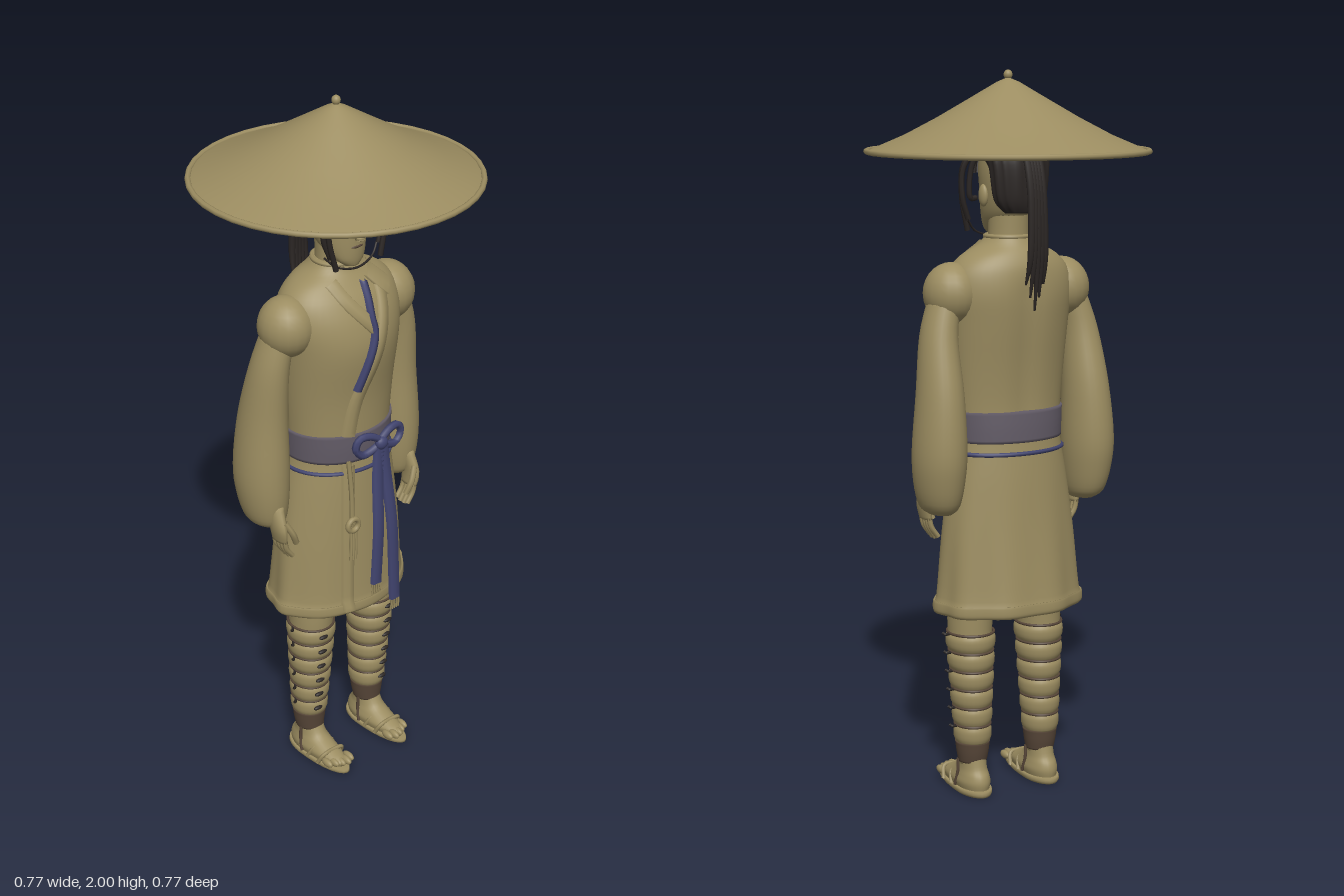
import * as THREE from 'three';

const mat = (name, color) => new THREE.MeshStandardMaterial({ name, color, side: THREE.DoubleSide });
const khaki = mat('khaki cloth', 0x9c8d61);
const blue = mat('blue cord', 0x41446f);
const sashGrey = mat('grey sash', 0x625b66);
const black = mat('black hair', 0x2b2624);
const brown = mat('brown wrap', 0x584739);

const V = (x, y, z) => new THREE.Vector3(x, y, z);

// A ring is [y, half width, front depth, back depth, centre x, centre z], listed bottom to top.
function smoothRings(rings, steps = 4) {
  const full = rings.map(r => [0, 1, 2, 3, 4, 5].map(k => r[k] ?? 0));
  const at = i => full[Math.min(Math.max(i, 0), full.length - 1)];
  const out = [];
  for (let i = 0; i < full.length - 1; i++) {
    for (let s = 0; s < steps; s++) {
      const t = s / steps;
      out.push(at(i).map((b, k) => {
        const a = at(i - 1)[k], c = at(i + 1)[k], d = at(i + 2)[k];
        return b + 0.5 * t * (c - a + t * (2 * a - 5 * b + 4 * c - d + t * (3 * (b - c) + d - a)));
      }));
    }
  }
  out.push(full[full.length - 1]);
  return out;
}

// Skin over stacked rings; rule(angle, y) may scale each point for folds and grooves.
function loft(rings, { steps = 4, sides = 28, caps = true, rule = () => 1 } = {}) {
  const rows = smoothRings(rings, steps);
  if (caps) {
    const flat = r => [r[0], 1e-4, 1e-4, 1e-4, r[4], r[5]];
    rows.unshift(flat(rows[0]));
    rows.push(flat(rows[rows.length - 1]));
  }
  const pos = [], idx = [];
  rows.forEach(([y, rx, zf, zb, cx, cz], i) => {
    for (let j = 0; j < sides; j++) {
      const a = (j / sides) * Math.PI * 2, k = rule(a, y);
      pos.push(cx + rx * k * Math.cos(a), y, cz + (Math.sin(a) > 0 ? zf : zb) * k * Math.sin(a));
      if (i < rows.length - 1) {
        const p = i * sides + j, q = i * sides + (j + 1) % sides;
        idx.push(p, p + sides, q, q, p + sides, q + sides);
      }
    }
  });
  return surface(pos, idx);
}

function surface(pos, idx) {
  const g = new THREE.BufferGeometry();
  g.setAttribute('position', new THREE.Float32BufferAttribute(pos, 3));
  g.setIndex(idx);
  g.computeVertexNormals();
  return g;
}

// Depth of the front of a lofted body at (x, y).
function frontOf(rings) {
  const rows = smoothRings(rings);
  return (x, y) => {
    let i = 0;
    while (i < rows.length - 2 && rows[i + 1][0] < y) i++;
    const a = rows[i], b = rows[i + 1];
    const t = THREE.MathUtils.clamp((y - a[0]) / (b[0] - a[0]), 0, 1);
    const rx = a[1] + (b[1] - a[1]) * t, zf = a[2] + (b[2] - a[2]) * t;
    return zf * Math.sqrt(Math.max(0, 1 - (x / rx) ** 2));
  };
}

// Raised band following a path of [x, y] points across a front surface.
function band(path, width, lift, depth) {
  const curve = new THREE.SplineCurve(path.map(p => new THREE.Vector2(...p)));
  const n = 24, pos = [], idx = [];
  for (let i = 0; i <= n; i++) {
    const p = curve.getPoint(i / n), d = curve.getTangent(i / n);
    [[-1, -0.004], [-0.8, lift], [0, lift], [0.8, lift], [1, -0.004]].forEach(([s, h], j) => {
      const x = p.x + d.y * s * width / 2, y = p.y - d.x * s * width / 2;
      pos.push(x, y, depth(x, y) + h);
      if (i < n && j < 4) {
        const a = i * 5 + j;
        idx.push(a, a + 1, a + 5, a + 1, a + 6, a + 5);
      }
    });
  }
  return surface(pos, idx);
}

const tube = (pts, r, closed = false) =>
  new THREE.TubeGeometry(new THREE.CatmullRomCurve3(pts.map(p => V(...p)), closed), pts.length > 8 ? 48 : 20, r, 6, closed);
const loopPoints = (rx, y, zf, zb, cx = 0, cz = 0) => Array.from({ length: 20 }, (_, i) => {
  const a = i / 20 * Math.PI * 2;
  return [cx + rx * Math.cos(a), y, cz + (Math.sin(a) > 0 ? zf : zb) * Math.sin(a)];
});

export function createModel() {
  const model = new THREE.Group();
  const add = (name, geo, material, x = 0, y = 0, z = 0) => {
    const m = new THREE.Mesh(geo, material);
    m.name = name;
    m.position.set(x, y, z);
    model.add(m);
    return m;
  };
  const ball = (name, material, p, s) => add(name, new THREE.SphereGeometry(1, 20, 14), material, ...p).scale.set(...s);

  // Conical hat with rolled rim and tip bead
  const hat = [[0.375, 1.787], [0.36, 1.794], [0.28, 1.828], [0.19, 1.875], [0.1, 1.927], [0.03, 1.968], [0.001, 1.98]];
  add('hat', new THREE.LatheGeometry(hat.map(p => new THREE.Vector2(...p)), 40), khaki);
  add('hatRim', new THREE.TorusGeometry(0.379, 0.008, 8, 40).rotateX(Math.PI / 2), khaki, 0, 1.786);
  ball('hatTip', khaki, [0, 1.987, 0], [0.012, 0.013, 0.012]);

  // Head and neck
  add('neck', loft([[1.48, 0.065, 0.05, 0.06], [1.56, 0.056, 0.05, 0.058], [1.66, 0.056, 0.05, 0.06]]), khaki);
  add('head', loft([[1.56, 0.022, 0.02, 0.03, 0, 0.06], [1.58, 0.044, 0.035, 0.06, 0, 0.05], [1.62, 0.064, 0.07, 0.08, 0, 0.018],
    [1.68, 0.074, 0.088, 0.085], [1.75, 0.078, 0.088, 0.095], [1.83, 0.066, 0.068, 0.08], [1.87, 0.03, 0.03, 0.04]]), khaki);
  const nose = add('nose', new THREE.ConeGeometry(0.014, 0.055, 10), khaki, 0, 1.664, 0.09);
  nose.rotation.x = -0.25;
  ball('noseTip', khaki, [0, 1.645, 0.096], [0.015, 0.01, 0.014]);
  ball('lips', brown, [0, 1.616, 0.083], [0.02, 0.005, 0.007]);
  for (const s of [-1, 1]) {
    ball('eye', black, [s * 0.031, 1.685, 0.077], [0.014, 0.005, 0.006]);
    add('eyebrow', tube([[s * 0.014, 1.702, 0.086], [s * 0.032, 1.712, 0.081], [s * 0.05, 1.704, 0.068]], 0.004), black);
    ball('ear', khaki, [s * 0.076, 1.67, 0], [0.012, 0.03, 0.018]);
    // Side locks and fringe
    for (const [x, z, low] of [[0.092, 0.07, 1.57], [0.098, 0.055, 1.6], [0.085, 0.035, 1.66]])
      add('sideLock', tube([[s * 0.06, 1.8, z], [s * x, 1.74, z + 0.015], [s * (x + 0.003), 1.66, z + 0.015], [s * (x - 0.017), low, z + 0.02]], 0.0075), black);
    for (const x of [0.01, 0.03, 0.05, 0.066])
      add('fringe', tube([[s * x * 0.8, 1.81, 0.06], [s * x, 1.765, 0.09 - x * 0.4], [s * x * 1.15, 1.728, 0.089 - x * 0.5]], 0.008), black);
  }

  // Hair gathered to the back, with a long tail
  add('backHair', loft([[1.625, 0.045, 0.02, 0.03, 0, -0.065], [1.66, 0.075, 0.04, 0.045, 0, -0.062], [1.74, 0.087, 0.05, 0.05, 0, -0.06],
    [1.79, 0.088, 0.12, 0.05, 0, -0.05], [1.86, 0.06, 0.09, 0.04, 0, -0.03]], { rule: a => 1 + 0.03 * Math.sin(a * 14), sides: 56 }), black);
  ball('hairKnot', black, [0, 1.8, -0.11], [0.03, 0.035, 0.03]);
  for (let i = -2; i <= 2; i++) {
    const x = i * 0.009, end = 1.37 + Math.abs(i) * 0.035;
    add('ponytail', loft([[end, 0.003, 0.003, 0.003, x * 1.5, -0.14], [1.52, 0.009, 0.009, 0.009, x * 1.2, -0.157],
      [1.66, 0.011, 0.011, 0.011, x, -0.154], [1.75, 0.011, 0.011, 0.011, x, -0.137], [1.81, 0.01, 0.01, 0.01, x, -0.11]], { sides: 8 }), black);
  }

  // Robe body with a shallow spine groove
  const bodyRings = [[0.98, 0.152, 0.127, 0.098], [1.09, 0.157, 0.13, 0.093], [1.2, 0.166, 0.136, 0.1], [1.33, 0.178, 0.153, 0.116],
    [1.41, 0.186, 0.142, 0.122], [1.47, 0.175, 0.115, 0.115], [1.51, 0.14, 0.085, 0.1], [1.54, 0.085, 0.063, 0.08], [1.565, 0.062, 0.055, 0.064]];
  const spine = (a, y) => 1 - 0.1 * Math.exp(-(((a - Math.PI * 1.5) / 0.22) ** 2)) * THREE.MathUtils.smoothstep(1.5 - y, 0, 0.1);
  add('robeBody', loft(bodyRings, { sides: 48, rule: spine }), khaki);
  const chest = frontOf(bodyRings);
  add('robeOverlap', band([[0.075, 1.515], [0.055, 1.44], [0.01, 1.32], [-0.04, 1.2], [-0.06, 1.09]], 0.038, 0.008, chest), khaki);
  add('rightLapel', band([[-0.07, 1.525], [-0.045, 1.47], [0.012, 1.4]], 0.04, 0.008, chest), khaki);
  add('leftLapel', band([[0.05, 1.535], [0.075, 1.505], [0.1, 1.48]], 0.05, 0.013, chest), khaki);
  add('chestTie', band([[0.02, 1.515], [0.005, 1.44], [0.005, 1.39], [-0.02, 1.31], [-0.045, 1.23]], 0.018, 0.014, chest), blue);
  add('collar', tube(loopPoints(0.063, 1.56, 0.056, 0.064), 0.007, true), khaki);
  add('chinCord', tube([[-0.09, 1.6, 0.06], [-0.06, 1.57, 0.075], [0, 1.556, 0.085], [0.06, 1.57, 0.075], [0.09, 1.6, 0.06]], 0.003), black);

  // Shoulders, sleeves and hands
  for (const s of [-1, 1]) {
    const side = s > 0 ? 'left' : 'right';
    ball(side + 'Shoulder', khaki, [s * 0.172, 1.412, 0.005], [0.077, 0.084, 0.08]);
    const sleeve = [[0.822, 0.03, 0.04, 0.045, 0.225, -0.02], [0.845, 0.052, 0.065, 0.07, 0.23, -0.025], [0.91, 0.066, 0.08, 0.085, 0.233, -0.03],
      [1.0, 0.071, 0.085, 0.09, 0.233, -0.034], [1.15, 0.062, 0.075, 0.078, 0.228, -0.03], [1.3, 0.05, 0.06, 0.06, 0.22, -0.01], [1.4, 0.045, 0.05, 0.05, 0.195, 0]];
    const mirrored = rings => rings.map(r => [...r.slice(0, 4), r[4] * s, r[5]]);
    add(side + 'Sleeve', loft(mirrored(sleeve)), khaki);
    add(side + 'Palm', loft(mirrored([[0.795, 0.012, 0.03, 0.03, 0.235, 0.043], [0.84, 0.016, 0.034, 0.034, 0.24, 0.043], [0.9, 0.02, 0.025, 0.025, 0.235, 0.025]]), { sides: 14 }), khaki);
    for (let i = 0; i < 4; i++)
      add(side + 'Finger', tube([[s * 0.237, 0.81, 0.021 + i * 0.015], [s * 0.23, 0.775, 0.02 + i * 0.015], [s * 0.21, 0.738 + Math.abs(i - 1.5) * 0.005, 0.02 + i * 0.015]], 0.0075), khaki);
    add(side + 'Thumb', tube([[s * 0.235, 0.86, 0.065], [s * 0.215, 0.82, 0.075], [s * 0.2, 0.785, 0.07]], 0.009), khaki);
  }

  // Skirt with soft folds and a thick hem
  const skirtRings = [[0.53, 0.214, 0.15, 0.146], [0.54, 0.22, 0.155, 0.151], [0.565, 0.219, 0.154, 0.15], [0.578, 0.21, 0.148, 0.144],
    [0.75, 0.195, 0.142, 0.125], [0.9, 0.174, 0.136, 0.112], [1.0, 0.156, 0.131, 0.102], [1.06, 0.153, 0.128, 0.098]];
  const folds = (a, y) => 1 + 0.025 * Math.sin(a * 9) * THREE.MathUtils.clamp((0.95 - y) / 0.4, 0, 1) * (Math.sin(a) > 0.4 ? 0.3 : 1);
  add('skirt', loft(skirtRings, { sides: 72, caps: false, rule: folds }), khaki);
  const lap = frontOf(skirtRings);
  add('skirtEdge', band([[-0.06, 1.0], [-0.068, 0.8], [-0.075, 0.545]], 0.035, 0.009, lap), khaki);

  // Sash, waist cord, bow and hanging ends
  add('sash', loft([[1.008, 0.158, 0.135, 0.106], [1.05, 0.16, 0.137, 0.105], [1.092, 0.162, 0.136, 0.102]], { sides: 40 }), sashGrey);
  add('waistCord', tube(loopPoints(0.161, 0.978, 0.134, 0.107), 0.006, true), blue);
  for (const s of [-1, 1]) {
    const loop = [[0, 0], [0.035, 0.026], [0.068, 0.026], [0.08, 0], [0.06, -0.025], [0.03, -0.02]];
    add('bowLoop', tube(loop.map(([x, y]) => [0.035 + s * x, 1.05 + y, 0.146 - x * 0.12]), 0.011, true), blue);
  }
  ball('bowKnot', blue, [0.035, 1.048, 0.15], [0.02, 0.019, 0.014]);
  const hang = (x, y) => 0.148 + 0.026 * THREE.MathUtils.smoothstep(1.05 - y, 0, 0.3);
  for (const [path, low] of [[[[0.03, 1.04], [0.015, 0.9], [0, 0.62]], 0.62], [[[0.042, 1.04], [0.055, 0.85], [0.07, 0.54]], 0.54]]) {
    add('sashEnd', band(path, 0.035, 0.006, hang), blue);
    for (let i = -2; i <= 2; i++) {
      const x = path[2][0] + i * 0.007;
      add('fringeThread', tube([[x, low, 0.175], [x + 0.001, low - 0.018, 0.175], [x, low - 0.035, 0.174]], 0.0025), khaki);
    }
  }

  // Hanging charm
  add('charmCord', tube([[-0.07, 1.02, 0.137], [-0.064, 0.92, 0.142], [-0.064, 0.83, 0.145]], 0.007), khaki);
  add('charmRing', new THREE.TorusGeometry(0.018, 0.008, 8, 20), khaki, -0.064, 0.825, 0.15);
  for (const x of [-0.072, -0.064, -0.056]) add('charmTassel', tube([[x, 0.805, 0.15], [x, 0.76, 0.152], [x * 1.03, 0.715, 0.152]], 0.005), khaki);

  // Legs bound with cords, sandals
  for (const s of [-1, 1]) {
    const side = s > 0 ? 'left' : 'right', x = s * 0.11;
    add(side + 'Leg', loft([[0.08, 0.036, 0.038, 0.038, x, 0.01], [0.18, 0.045, 0.048, 0.048, x, 0.008], [0.35, 0.054, 0.058, 0.058, x, 0.015],
      [0.5, 0.062, 0.067, 0.068, x, 0.022], [0.8, 0.07, 0.07, 0.07, x * 0.8, 0.015]]), khaki);
    for (let i = 0; i < 6; i++) {
      const y = 0.15 + i * 0.053, r = 0.05 + i * 0.003, z = 0.009 + i * 0.002;
      add(side + 'LegWrap', loft([[y, r * 0.93, r, r, x, z], [y + 0.014, r * 1.04, r * 1.12, r * 1.1, x, z],
        [y + 0.036, r * 1.06, r * 1.13, r * 1.12, x, z], [y + 0.049, r * 0.95, r * 1.03, r * 1.02, x, z]], { steps: 3 }), khaki);
      add(side + 'LegCord', tube(loopPoints(r * 0.98, y + 0.051, r * 1.06, r * 1.05, x, z), 0.004, true), brown);
      ball(side + 'CordKnot', black, [x + s * 0.012, y + 0.03, z + r * 1.12], [0.015, 0.006, 0.007]);
      add(side + 'CordEnd', tube([[x + s * r, y + 0.05, z], [x + s * (r + 0.009), y + 0.047, z + 0.01], [x + s * (r + 0.016), y + 0.052, z + 0.014]], 0.004), black);
    }
    add(side + 'AnkleWrap', loft([[0.092, 0.04, 0.043, 0.041, x, 0.01], [0.12, 0.045, 0.047, 0.046, x, 0.009], [0.152, 0.049, 0.051, 0.05, x, 0.009]]), brown);
    add(side + 'Foot', loft([[0.014, 0.04, 0.145, 0.07, x, 0.015], [0.035, 0.045, 0.15, 0.073, x, 0.015], [0.055, 0.041, 0.1, 0.065, x, 0.012],
      [0.075, 0.037, 0.06, 0.05, x, 0.01], [0.11, 0.036, 0.04, 0.04, x, 0.008]]), khaki);
    add(side + 'Sole', loft([[0, 0.042, 0.155, 0.078, x, 0.015], [0.008, 0.048, 0.17, 0.082, x, 0.015], [0.018, 0.046, 0.168, 0.08, x, 0.015]], { steps: 2 }), khaki);
    for (let i = -2; i <= 2; i++) ball(side + 'Toe', khaki, [x + i * 0.017, 0.03, 0.158 - Math.abs(i + s * 0.8) * 0.009], [0.01, 0.012, 0.022]);
    for (const z of [0.07, 0.115])
      add(side + 'SandalStrap', tube([[x - 0.044, 0.015, z - 0.015], [x - 0.034, 0.046, z], [x, 0.062 - (z - 0.07) * 0.25, z], [x + 0.034, 0.046, z], [x + 0.044, 0.015, z - 0.015]], 0.006), khaki);
    for (const k of [-1, 1]) add(side + 'AnkleCord', tube([[x + k * 0.046, 0.02, 0.03], [x + k * 0.042, 0.06, 0.02], [x + k * 0.04, 0.1, 0.02]], 0.005), brown);
  }
  return model;
}
